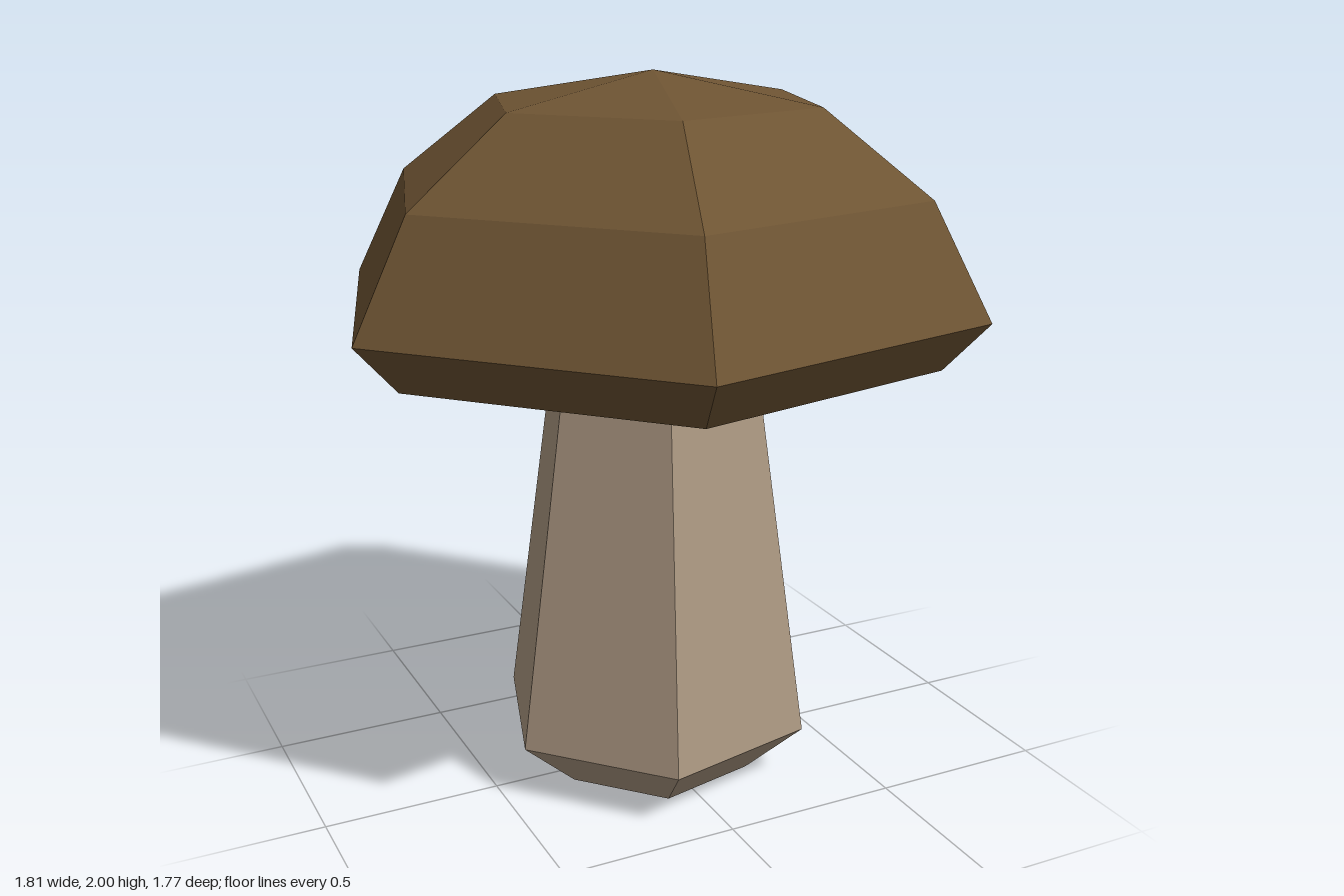
import * as THREE from 'three';

const SIDES = 6;
const TURN = THREE.MathUtils.degToRad(42.8); // twist of the hexagon about y

// Faceted six-sided solid from [radius, height] pairs, bottom to top
function facetedSolid(name, profile, material) {
  const points = profile.map(([r, y]) => new THREE.Vector2(r, y));
  const mesh = new THREE.Mesh(new THREE.LatheGeometry(points, SIDES, TURN), material);
  mesh.name = name;
  return mesh;
}

export function createModel() {
  const capBrown = new THREE.MeshStandardMaterial({ color: 0x6e5433, flatShading: true });
  capBrown.name = 'cap brown';
  const stemBeige = new THREE.MeshStandardMaterial({ color: 0xad9983, flatShading: true });
  stemBeige.name = 'stem beige';

  const model = new THREE.Group();
  model.name = 'mushroom';

  // Stem: narrow foot, wide base, tapering up to the cap
  model.add(facetedSolid('stem', [[0, 0], [0.292, 0], [0.46, 0.155], [0.298, 1.26]], stemBeige));

  // Cap: flat underside, bevelled rim, domed top
  model.add(facetedSolid('cap', [
    [0, 1.26], [0.805, 1.26], [0.927, 1.395], [0.763, 1.7], [0.466, 1.92], [0, 2],
  ], capBrown));

  return model;
}
